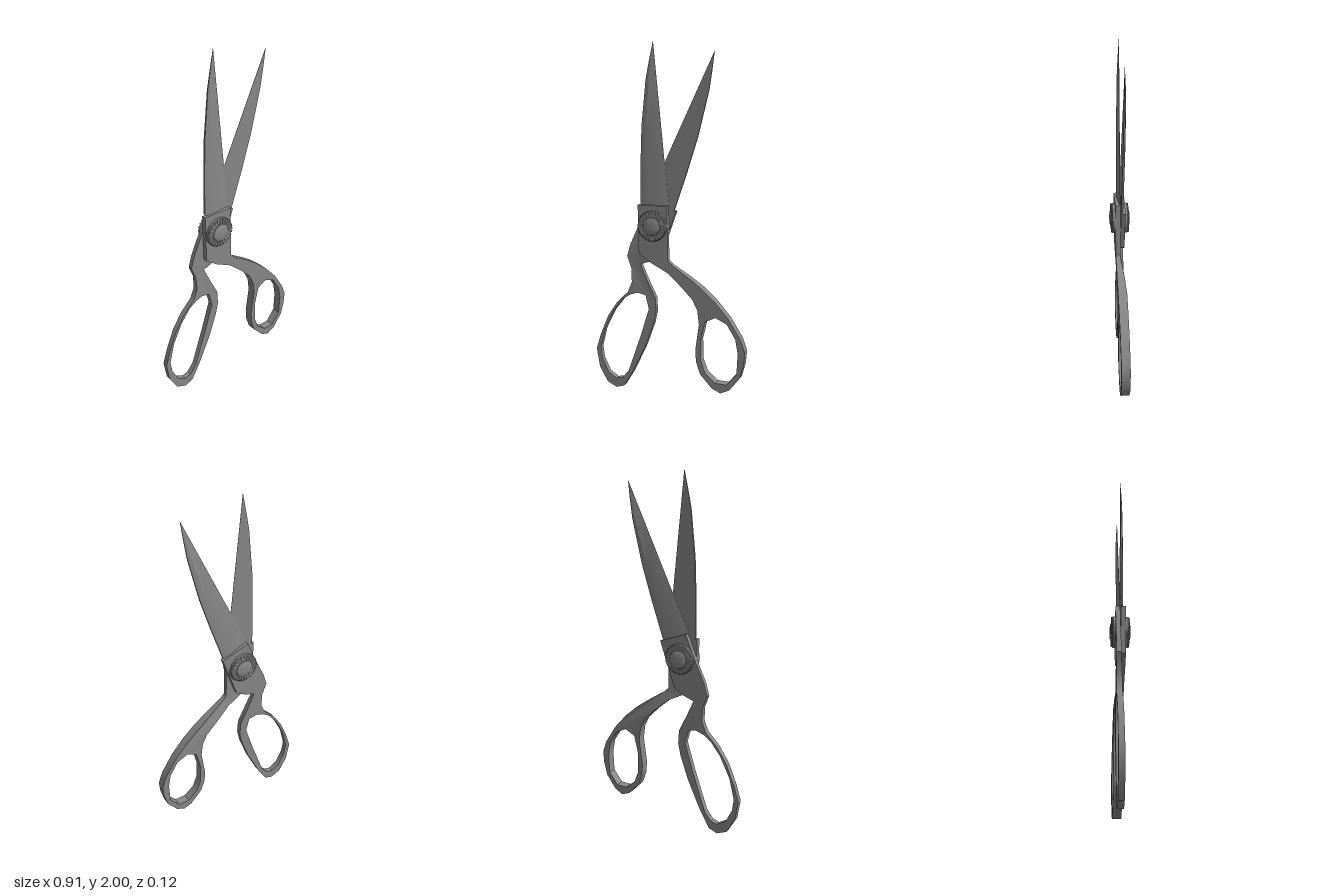
import * as THREE from 'three';
import { toCreasedNormals, mergeGeometries } from 'three/addons/utils/BufferGeometryUtils.js';

const PIVOT = [-0.085, 1.0];
const points = (list) => list.map(([x, y]) => new THREE.Vector2(x, y));

// Pivot plate and finger loop in one piece; front(y) and back(y) give the z of each face
function handleGeometry(outline, hole, front, back) {
  const shape = new THREE.Shape(points(outline));
  shape.holes.push(new THREE.Path(points(hole)));
  const geo = new THREE.ExtrudeGeometry(shape, { depth: 1, bevelEnabled: false });
  const pos = geo.attributes.position;
  for (let i = 0; i < pos.count; i++) {
    const y = pos.getY(i);
    pos.setZ(i, pos.getZ(i) > 0.5 ? front(y) : back(y));
  }
  return toCreasedNormals(geo, 0.6);
}

// Hollow-backed knife section lofted from base to tip, relative to the pivot
function bladeGeometry() {
  const stations = [ // height, spine x, thickness
    [0.1, -0.068, 0.016], [0.112, -0.07, 0.016], [0.125, -0.08, 0.016], [0.35, -0.077, 0.016],
    [0.55, -0.07, 0.015], [0.8, -0.045, 0.012], [0.9, -0.026, 0.008], [1.0, -0.005, 0.002],
  ];
  const verts = [], index = [], n = 5;
  stations.forEach(([y, spine, t], k) => {
    const edge = -0.0045 + 0.09 * (1 - y) / 0.88;
    const ridge = spine + (edge - spine) * 0.3;
    verts.push(spine, y, t * 0.75, ridge, y, t, edge, y, 0.002, edge, y, 0.001, spine, y, 0.001);
    if (k === 0) return;
    for (let i = 0; i < n; i++) {
      const j = (i + 1) % n, a = (k - 1) * n, b = k * n;
      index.push(a + i, a + j, b + j, a + i, b + j, b + i);
    }
  });
  const top = (stations.length - 1) * n;
  for (let i = 1; i < n - 1; i++) index.push(top, top + i, top + i + 1);
  const geo = new THREE.BufferGeometry();
  geo.setAttribute('position', new THREE.Float32BufferAttribute(verts, 3));
  geo.setIndex(index);
  return toCreasedNormals(geo, 0.3);
}

// Domed pivot screw head with a ribbed collar, facing +z
function screwGeometry() {
  const profile = points([
    [0.08, 0.02], [0.085, 0.027], [0.085, 0.04], [0.08, 0.044], [0.052, 0.046],
    [0.05, 0.05], [0.038, 0.055], [0.02, 0.057], [0, 0.058],
  ]);
  const parts = [new THREE.LatheGeometry(profile, 48).rotateX(Math.PI / 2).toNonIndexed()];
  const ribs = 24;
  for (let i = 0; i < ribs; i++) {
    const rib = new THREE.BoxGeometry(0.03, 0.008, 0.008);
    rib.translate(0.067, 0, 0.045).rotateZ((i / ribs) * Math.PI * 2);
    parts.push(rib.toNonIndexed());
  }
  return toCreasedNormals(mergeGeometries(parts), 0.6);
}

export function createModel() {
  const steel = new THREE.MeshStandardMaterial({ color: 0x888888 });
  steel.name = 'steel';
  const model = new THREE.Group();
  model.name = 'scissors';
  const add = (name, geo, parent = model) => {
    const mesh = new THREE.Mesh(geo, steel);
    mesh.name = name;
    parent.add(mesh);
    return mesh;
  };
  const taper = (y) => THREE.MathUtils.clamp((0.8 - y) / 0.11, 0, 1);

  // Front half: plate with the small thumb loop
  add('thumbHandle', handleGeometry(
    [[-0.175, 1.115], [-0.17, 0.84], [-0.1, 0.79], [0, 0.74], [0.08, 0.67], [0.15, 0.6],
      [0.18, 0.54], [0.19, 0.46], [0.17, 0.31], [0.175, 0.24], [0.2, 0.17], [0.27, 0.095],
      [0.32, 0.075], [0.37, 0.1], [0.43, 0.18], [0.45, 0.26], [0.455, 0.33], [0.43, 0.4],
      [0.36, 0.51], [0.28, 0.6], [0.2, 0.67], [0.13, 0.72], [0.03, 0.785], [0.005, 0.81], [0, 1.115]],
    [[0.225, 0.48], [0.285, 0.51], [0.35, 0.48], [0.4, 0.4], [0.415, 0.32], [0.41, 0.2],
      [0.355, 0.13], [0.29, 0.13], [0.23, 0.18], [0.203, 0.25], [0.2, 0.37]],
    () => 0.027, (y) => 0.001 - 0.024 * taper(y)));

  // Back half: plate with the long finger loop
  add('fingerHandle', handleGeometry(
    [[0.042, 1.085], [-0.12, 1.142], [-0.17, 1.02], [-0.235, 0.88], [-0.255, 0.81], [-0.228, 0.74],
      [-0.225, 0.66], [-0.25, 0.6], [-0.32, 0.53], [-0.38, 0.44], [-0.43, 0.32], [-0.458, 0.23],
      [-0.44, 0.12], [-0.39, 0.03], [-0.33, 0.003], [-0.28, 0.02], [-0.22, 0.12], [-0.14, 0.29],
      [-0.09, 0.43], [-0.075, 0.5], [-0.08, 0.58], [-0.13, 0.68], [-0.17, 0.77], [-0.11, 0.79], [-0.05, 0.825]],
    [[-0.235, 0.585], [-0.19, 0.6], [-0.14, 0.59], [-0.12, 0.51], [-0.17, 0.35], [-0.25, 0.12],
      [-0.29, 0.07], [-0.33, 0.06], [-0.38, 0.09], [-0.42, 0.17], [-0.43, 0.24], [-0.4, 0.36],
      [-0.34, 0.48], [-0.28, 0.555]],
    (y) => -0.001 + 0.006 * taper(y), () => -0.026));

  // The back blade is the front blade turned round and swung open
  const blade = bladeGeometry();
  add('frontBlade', blade).position.set(...PIVOT, 0);
  const backBlade = add('backBlade', blade);
  backBlade.position.set(...PIVOT, 0);
  backBlade.rotation.set(0, Math.PI, 0.342);

  // Matching screw heads on both sides
  const screw = screwGeometry();
  add('frontScrew', screw).position.set(...PIVOT, 0);
  const backScrew = add('backScrew', screw);
  backScrew.position.set(...PIVOT, 0);
  backScrew.rotation.y = Math.PI;

  return model;
}
